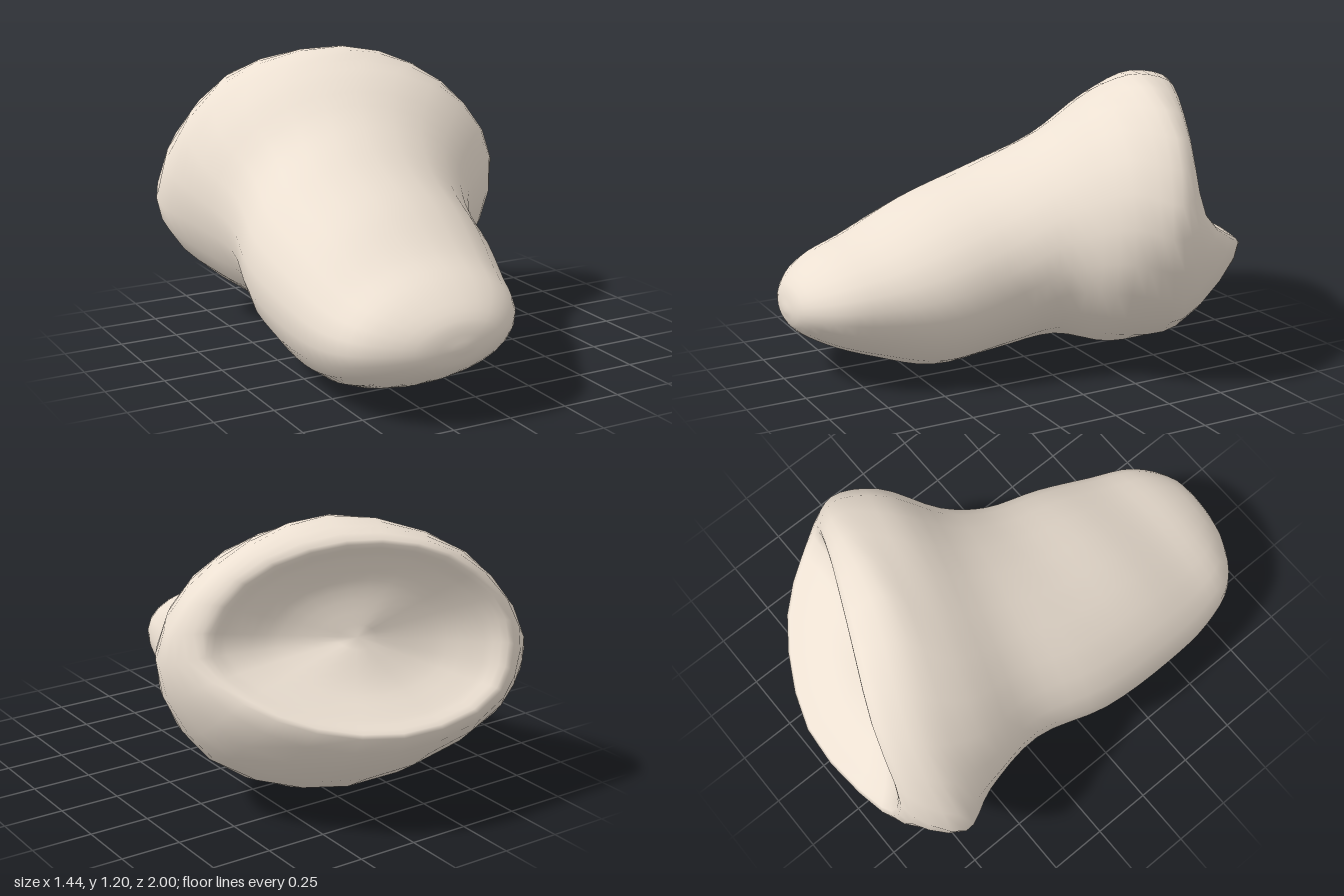
import * as THREE from 'three';
import { mergeVertices } from 'three/addons/utils/BufferGeometryUtils.js';

const SIDES = 24, STEPS = 48;

// Shaft sections from the rounded tip to the flare: centre x, y, z, half width, half height, roll, lean of z with x
const SHAFT = [
  [-0.21, 0.31, 1.00, 0.00, 0.00, 0.10, 0.00],
  [-0.22, 0.32, 0.97, 0.18, 0.09, 0.10, 0.05],
  [-0.23, 0.325, 0.85, 0.34, 0.18, 0.10, 0.02],
  [-0.22, 0.325, 0.66, 0.42, 0.26, 0.12, 0.00],
  [-0.19, 0.355, 0.42, 0.475, 0.355, 0.14, 0.02],
  [-0.16, 0.43, 0.12, 0.50, 0.395, 0.17, 0.12],
  [-0.08, 0.52, -0.13, 0.51, 0.435, 0.20, 0.28],
  [-0.005, 0.585, -0.36, 0.64, 0.54, 0.18, 0.32],
];
// Head outlines, eight points each, counter-clockwise from the left side (+x)
const SHOULDER = [
  [0.72, 0.66, -0.32], [0.52, 1.02, -0.41], [0.08, 1.20, -0.51], [-0.44, 1.02, -0.73],
  [-0.72, 0.55, -0.76], [-0.56, 0.29, -0.74], [0.05, 0.11, -0.64], [0.54, 0.26, -0.45],
];
const RIM = [
  [0.64, 0.72, -0.48], [0.47, 1.00, -0.51], [0.10, 1.14, -0.67], [-0.27, 1.07, -0.84],
  [-0.52, 0.78, -0.92], [-0.44, 0.52, -0.97], [0.05, 0.44, -0.99], [0.48, 0.53, -0.76],
];
const RIM_CENTRE = new THREE.Vector3(0.08, 0.78, -0.77);
const INWARD = new THREE.Vector3(-0.38, -0.3, 0.87).normalize();
// Hollow: share of the rim's size, depth below it
const HOLLOW = [[0.82, 0.045], [0.5, 0.11], [0, 0.13]];

function shaftRing([cx, cy, cz, w, h, roll, lean]) {
  return (t) => {
    const u = Math.cos(t * Math.PI * 2) * w, v = Math.sin(t * Math.PI * 2) * h;
    const dx = u * Math.cos(roll) - v * Math.sin(roll);
    const dy = u * Math.sin(roll) + v * Math.cos(roll);
    return new THREE.Vector3(cx + dx, cy + dy, cz + dx * lean);
  };
}

function outlineRing(points) {
  const curve = new THREE.CatmullRomCurve3(points.map((p) => new THREE.Vector3(...p)), true);
  return (t) => curve.getPoint(t);
}

// Smooth lengthwise curves through all rings, skinned into one closed surface
function loftGeometry(rings) {
  const positions = [], index = [];
  for (let j = 0; j < SIDES; j++) {
    const curve = new THREE.CatmullRomCurve3(rings.map((ring) => ring(j / SIDES)));
    for (let i = 0; i <= STEPS; i++) positions.push(...curve.getPoint(i / STEPS).toArray());
  }
  const row = STEPS + 1;
  for (let j = 0; j < SIDES; j++) {
    const next = (j + 1) % SIDES;
    for (let i = 0; i < STEPS; i++) {
      const a = j * row + i, b = next * row + i;
      if (i > 0) index.push(a, a + 1, b);
      if (i < STEPS - 1) index.push(b, a + 1, b + 1);
    }
  }
  const geometry = new THREE.BufferGeometry();
  geometry.setAttribute('position', new THREE.Float32BufferAttribute(positions, 3));
  geometry.setIndex(index);
  const merged = mergeVertices(geometry, 1e-4);
  merged.computeVertexNormals();
  return merged;
}

export function createModel() {
  const rim = outlineRing(RIM);
  const hollow = HOLLOW.map(([size, depth]) => (t) => rim(t).sub(RIM_CENTRE)
    .multiplyScalar(size).add(RIM_CENTRE).addScaledVector(INWARD, depth));
  const rings = [...SHAFT.map(shaftRing), outlineRing(SHOULDER), rim, ...hollow];

  const group = new THREE.Group();
  group.name = 'bone';
  const bone = new THREE.Mesh(loftGeometry(rings), new THREE.MeshStandardMaterial({ color: 0xece0d2 }));
  bone.name = 'shaftAndHollowHead';
  group.add(bone);
  return group;
}
